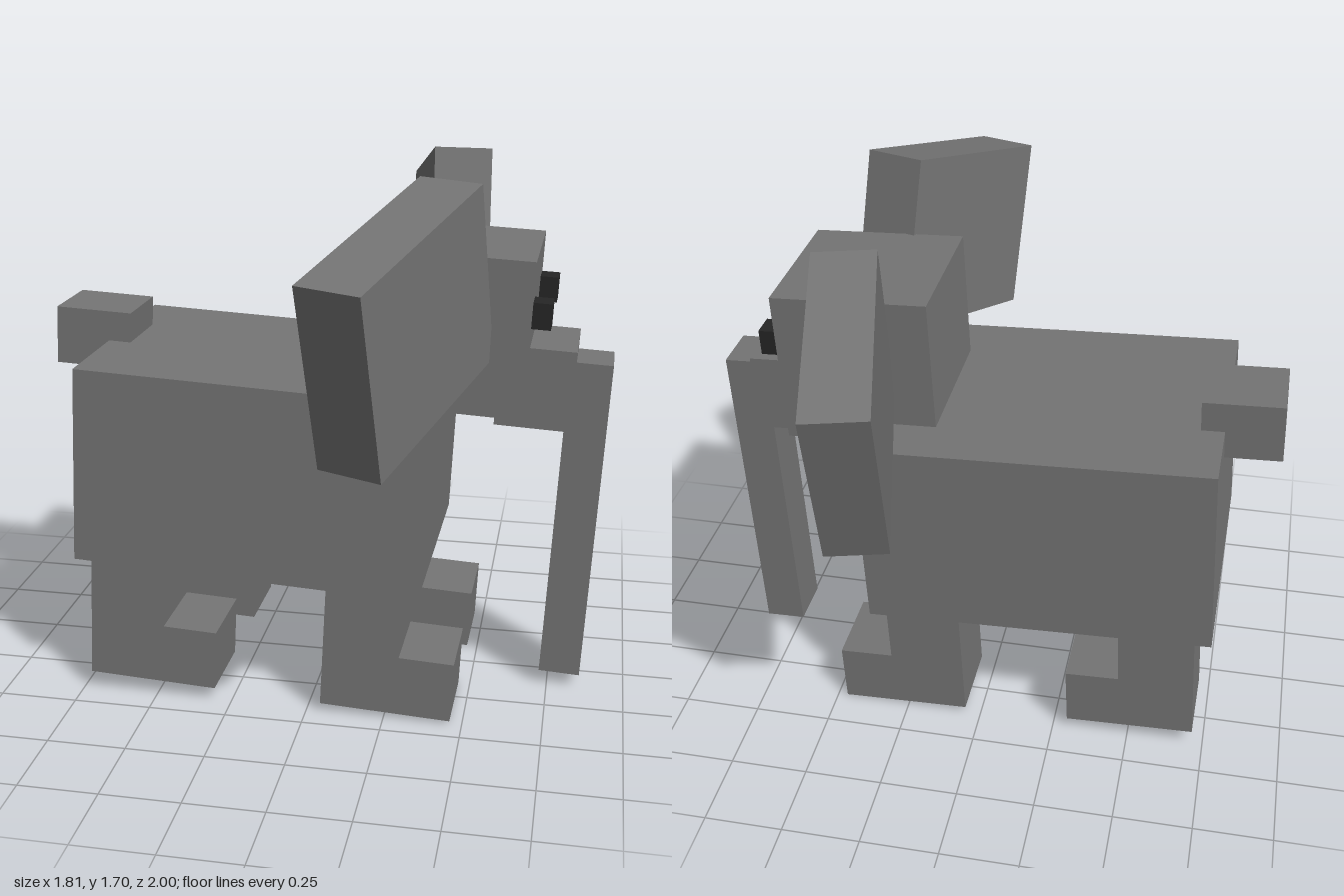
import * as THREE from 'three';

export function createModel() {
  const model = new THREE.Group();
  model.name = 'blockElephant';
  const grey = new THREE.MeshStandardMaterial({ color: 0x757575 });
  const dark = new THREE.MeshStandardMaterial({ color: 0x262626 });

  // The animal faces +x and stands slightly tilted
  const tilted = new THREE.Group();
  tilted.name = 'tiltedAnimal';
  tilted.rotation.set(-0.01, -0.01, -0.0455);
  tilted.position.set(0.003, -0.006, 0);
  model.add(tilted);

  // Box from its lower and upper x, y and z limits
  const block = (name, [x0, x1], [y0, y1], [z0, z1], material = grey) => {
    const mesh = new THREE.Mesh(new THREE.BoxGeometry(x1 - x0, y1 - y0, z1 - z0), material);
    mesh.position.set((x0 + x1) / 2, (y0 + y1) / 2, (z0 + z1) / 2);
    mesh.name = name;
    tilted.add(mesh);
  };

  block('body', [-0.777, 0.333], [0.43, 1.066], [-0.407, 0.425]);
  block('head', [0.105, 0.593], [0.994, 1.485], [-0.24, 0.248]);
  block('snout', [0.503, 0.737], [0.945, 1.201], [-0.125, 0.167]);
  block('trunk', [0.718, 0.85], [0.086, 1.152], [-0.062, 0.104]);
  block('tail', [-0.955, -0.704], [0.974, 1.164], [-0.152, 0.086]);

  // Eyes
  for (const [side, z] of [['left', 0.184], ['right', -0.178]]) {
    block(side + 'Eye', [0.57, 0.652], [1.276, 1.357], [z - 0.04, z + 0.04], dark);
  }

  // Legs, each with a foot reaching forward
  for (const [end, x] of [['Rear', -0.722], ['Front', 0.044]]) {
    for (const [side, z] of [['left', 0.287], ['right', -0.244]]) {
      const depth = [z - 0.131, z + 0.131];
      block(side + end + 'Leg', [x, x + 0.243], [0.03, 0.46], depth);
      block(side + end + 'Foot', [x + 0.243, x + 0.417], [0.03, 0.228], depth);
    }
  }

  // Ears: slabs spread outwards, oriented by thickness and height axes
  const ear = (name, centre, size, thick, high) => {
    const x = new THREE.Vector3(...thick).normalize();
    const z = x.clone().cross(new THREE.Vector3(...high)).normalize();
    const y = z.clone().cross(x);
    const mesh = new THREE.Mesh(new THREE.BoxGeometry(...size), grey);
    mesh.quaternion.setFromRotationMatrix(new THREE.Matrix4().makeBasis(x, y, z));
    mesh.position.set(...centre);
    mesh.name = name;
    model.add(mesh);
  };
  ear('leftEar', [0.308, 1.335, 0.573], [0.2, 0.569, 0.713], [0.19, -0.005, 0.07], [-0.035, 0.55, 0.14]);
  ear('rightEar', [0.317, 1.328, -0.598], [0.19, 0.563, 0.647], [0.185, -0.007, -0.04], [-0.015, 0.54, -0.16]);

  return model;
}
